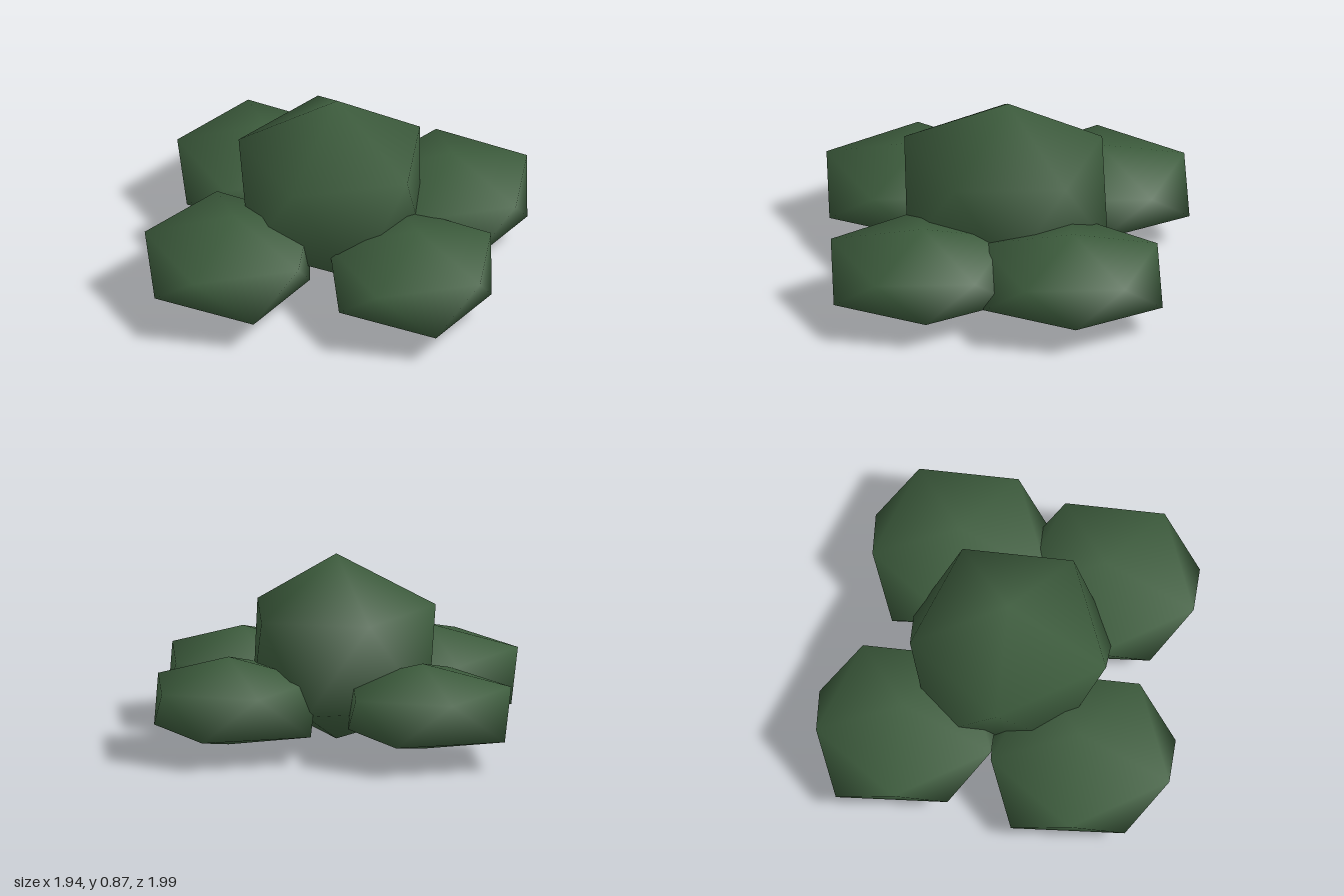
import * as THREE from 'three';

// Uneven 12-point leaf clump: two staggered rings of five between a top and a bottom point.
// Even entries belong to the upper ring, odd entries to the lower ring.
const RADII = [0.385, 0.34, 0.39, 0.435, 0.44, 0.41, 0.405, 0.455, 0.408, 0.425];
const HEIGHTS = [0.078, -0.11, 0.08, -0.108, 0.091, -0.11, 0.091, -0.115, 0.087, -0.11];
const HALF_HEIGHT = 0.205;

function clumpGeometry() {
  const points = [];
  const index = [];
  const top = 10, bottom = 11;
  RADII.forEach((r, k) => {
    const a = (k * Math.PI) / 5;
    points.push(r * Math.cos(a), HEIGHTS[k], r * Math.sin(a));
  });
  points.push(0, HALF_HEIGHT, 0, 0, -HALF_HEIGHT, 0);
  for (let k = 0; k < 10; k++) {
    const m = (k + 1) % 10, n = (k + 2) % 10;
    if (k % 2 === 0) index.push(k, n, m, top, n, k);
    else index.push(k, m, n, bottom, k, n);
  }
  const geometry = new THREE.BufferGeometry();
  geometry.setAttribute('position', new THREE.Float32BufferAttribute(points, 3));
  geometry.setIndex(index);
  geometry.computeVertexNormals();
  return geometry;
}

export function createModel() {
  const group = new THREE.Group();
  group.name = 'bush';
  const leafGreen = new THREE.MeshStandardMaterial({ color: 0x3d5c3d });
  leafGreen.name = 'leafGreen';
  const geometry = clumpGeometry();

  // name, centre, horizontal scale, vertical scale
  const clumps = [
    ['centreClump', [0.02, 0.437, 0.02], 1.12, 2.11],
    ['leftClump', [0.59, 0.248, 0.085], 1, 1],
    ['rightClump', [-0.55, 0.25, 0.08], 1.02, 1],
    ['frontClump', [0.122, 0.243, 0.588], 1, 1],
    ['backClump', [-0.035, 0.25, -0.555], 1, 0.97],
  ];
  for (const [name, centre, width, height] of clumps) {
    const clump = new THREE.Mesh(geometry, leafGreen);
    clump.name = name;
    clump.position.set(...centre);
    clump.scale.set(width, height, width);
    group.add(clump);
  }
  return group;
}
